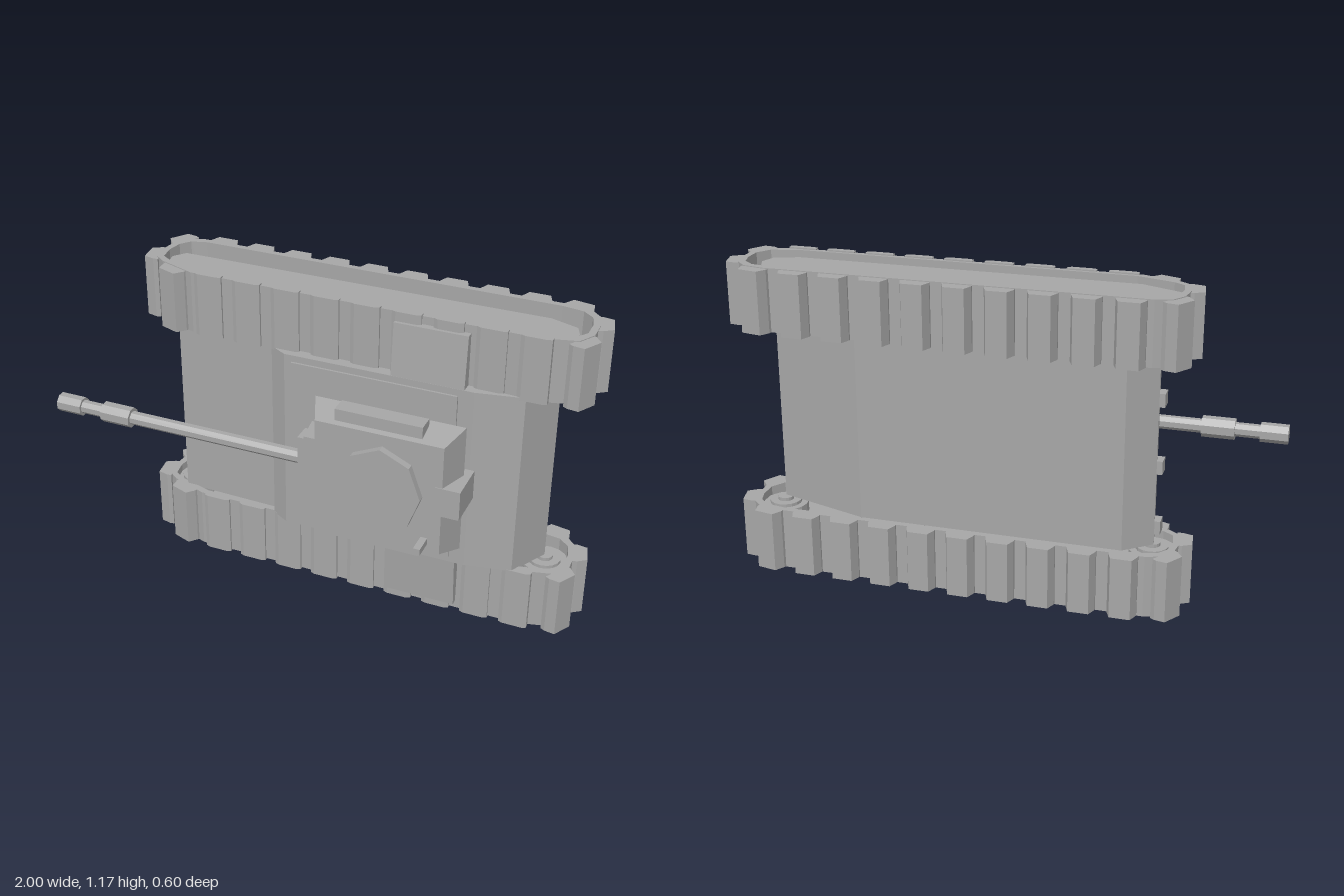
import * as THREE from 'three';

const H = 1.175; // overall height, the model rests on one track side

export function createModel() {
  const model = new THREE.Group();
  const grey = new THREE.MeshStandardMaterial({ color: 0xa6a6a6 });

  function add(name, geo, parent = model) {
    const g = geo.index ? geo.toNonIndexed() : geo;
    g.computeVertexNormals(); // faceted normals
    const mesh = new THREE.Mesh(g, grey);
    mesh.name = name;
    parent.add(mesh);
    return mesh;
  }

  // prism from an x/z outline, running along y
  function prism(points, y0, y1, hole) {
    const shape = new THREE.Shape(points.map(([x, z]) => new THREE.Vector2(x, -z)));
    if (hole) shape.holes.push(new THREE.Path(hole.map(([x, z]) => new THREE.Vector2(x, -z))));
    const g = new THREE.ExtrudeGeometry(shape, { depth: y1 - y0, bevelEnabled: false });
    return g.rotateX(-Math.PI / 2).translate(0, y0, 0);
  }

  // block between two rectangles [x0, x1, y0, y1] at heights za and zb
  function block(a, za, b = a, zb) {
    const g = new THREE.BoxGeometry(1, 1, 1);
    const p = g.attributes.position;
    for (let i = 0; i < p.count; i++) {
      const top = p.getZ(i) > 0;
      const r = top ? b : a;
      p.setXYZ(i, r[p.getX(i) > 0 ? 1 : 0], r[p.getY(i) > 0 ? 3 : 2], top ? zb : za);
    }
    return g;
  }

  // octagonal bar along x
  function bar(x0, x1, r) {
    return new THREE.CylinderGeometry(r, r, x1 - x0, 8)
      .rotateY(Math.PI / 8).rotateZ(Math.PI / 2).translate((x0 + x1) / 2, 0.59, 0.15);
  }

  // ---- hull
  add('hull', prism([[-0.1, 0.04], [0.77, 0.04], [0.85, -0.11], [0.5, -0.22], [-0.48, -0.22],
    [-0.58, -0.14], [-0.56, -0.01], [-0.17, 0.0]], 0.235, 0.94));
  add('upperHull', prism([[-0.17, 0.0], [-0.165, 0.035], [-0.1, 0.072], [0.6, 0.072], [0.77, 0.04]], 0.235, 0.945));
  add('deckPlate', block([-0.07, 0.545, 0.26, 0.92], 0.07, undefined, 0.08));
  for (const y of [0.3, 0.53, 0.78])
    add('frontBracket', block([-0.6, -0.55, y - 0.025, y + 0.025], -0.14, undefined, -0.09));

  // ---- turret
  add('turretRing', new THREE.CylinderGeometry(0.2, 0.2, 0.03, 24).rotateX(Math.PI / 2).translate(0.32, 0.585, 0.085));
  const waist = [0.04, 0.595, 0.335, 0.83];
  add('turretSkirt', block([0.05, 0.58, 0.385, 0.79], 0.088, waist, 0.115));
  add('turretBody', block(waist, 0.115, [0.085, 0.555, 0.37, 0.8], 0.225));
  for (const [y0, y1] of [[0.325, 0.375], [0.8, 0.85]])
    add('turretSideBox', block([0.15, 0.47, y0, y1], 0.14, undefined, 0.205));
  add('turretRearBox', block([0.53, 0.62, 0.53, 0.642], 0.075, undefined, 0.228));
  add('mantlet', block([0.02, 0.09, 0.455, 0.715], 0.1, [0.035, 0.09, 0.455, 0.715], 0.21));
  add('mantletCollar', block([0.0, 0.04, 0.49, 0.69], 0.115, undefined, 0.185));

  // octagonal hatch with a raised rim
  const octagon = r => Array.from({ length: 8 }, (_, i) => {
    const a = i * Math.PI / 4;
    return new THREE.Vector2(0.335 + 0.9 * r * Math.sin(a), 0.588 + r * Math.cos(a));
  });
  const rim = new THREE.Shape(octagon(0.168));
  rim.holes.push(new THREE.Path(octagon(0.148)));
  add('hatchRim', new THREE.ExtrudeGeometry(rim, { depth: 0.03, bevelEnabled: false }).translate(0, 0, 0.222));
  add('hatchLid', new THREE.ExtrudeGeometry(new THREE.Shape(octagon(0.148)), { depth: 0.022, bevelEnabled: false })
    .translate(0, 0, 0.222));
  add('periscope', block([0.485, 0.51, 0.4, 0.425], 0.22, undefined, 0.3));

  // ---- gun
  add('gunBarrel', bar(-0.98, 0.04, 0.026));
  add('barrelSleeve', bar(-0.81, -0.69, 0.039));
  add('muzzleBrake', bar(-1, -0.9, 0.036));

  // ---- tracks, one at each side of the hull
  const loop = [[-0.57, -0.255], [-0.63, -0.235], [-0.66, -0.19], [-0.67, -0.12], [-0.66, -0.05],
    [-0.62, -0.02], [-0.48, 0.03], [0.8, 0.03], [0.92, 0.0], [0.955, -0.06], [0.955, -0.14],
    [0.94, -0.2], [0.9, -0.24], [0.82, -0.255]];
  const inner = loop.map(([x, z]) => [0.15 + (x - 0.15) * 0.97, -0.11 + (z + 0.11) * 0.84]);
  const path = new THREE.CurvePath();
  loop.forEach(([x, z], i) => {
    const [u, w] = loop[(i + 1) % loop.length];
    path.add(new THREE.LineCurve(new THREE.Vector2(x, z), new THREE.Vector2(u, w)));
  });

  for (const side of ['right', 'left']) {
    const track = new THREE.Group();
    track.name = side + 'Track';
    model.add(track);
    const span = (a, b) => side === 'right' ? [a, b] : [H - b, H - a];

    add('trackBand', prism(loop, ...span(0.005, 0.24), inner), track);

    // cleats, low on the upper run and tall elsewhere
    const count = 24;
    for (let i = 0; i < count; i++) {
      const t = (i + 0.5) / count;
      const c = path.getPointAt(t), d = path.getTangentAt(t);
      const upper = c.y > 0.02;
      const h = upper ? 0.014 : 0.045;
      const at = (s, n) => [c.x + d.x * s + d.y * n, c.y + d.y * s - d.x * n];
      // outward is away from the middle of the loop
      const out = (d.y * (c.x - 0.15) - d.x * (c.y + 0.11)) > 0 ? 1 : -1;
      const outline = [at(-0.053, -0.01 * out), at(0.053, -0.01 * out), at(0.053, 0.008 * out),
        at(0.038, h * out), at(-0.038, h * out), at(-0.053, 0.008 * out)];
      add('trackCleat', prism(outline, ...span(upper ? 0 : 0.008, 0.24)), track);
    }

    // side beam set back inside the loop
    add('sideBeam', prism([[-0.6, -0.165], [-0.635, -0.12], [-0.625, -0.06], [-0.48, 0.0], [0.79, 0.0],
      [0.88, -0.03], [0.9, -0.09], [0.88, -0.14], [0.78, -0.175]], ...span(0.03, 0.17)), track);

    const wheel = (name, x, z, r, a, b) => {
      const [y0, y1] = span(a, b);
      add(name, new THREE.CylinderGeometry(r, r, y1 - y0, 16).translate(x, (y0 + y1) / 2, z), track);
    };
    // end wheels with stepped hubs, facing the hull
    for (const x of [-0.57, 0.85]) {
      wheel('endWheel', x, -0.115, 0.085, 0.15, 0.21);
      wheel('endWheelRing', x, -0.115, 0.06, 0.2, 0.222);
      wheel('endWheelHub', x, -0.115, 0.03, 0.2, 0.235);
    }
    for (const x of [-0.35, -0.12, 0.1, 0.33, 0.58])
      wheel('roadWheel', x, -0.17, 0.055, 0.06, 0.2);

    // sloping side plate that covers the upper track run
    const [p0, p1] = span(0.035, 0.24);
    const plate = block([0.3, 0.565, p0, p1], 0.02, undefined, 0.072);
    const pos = plate.attributes.position;
    for (let i = 0; i < pos.count; i++) {
      const outer = Math.abs(pos.getY(i) - H / 2) > 0.4;
      if (outer && pos.getZ(i) > 0.05) pos.setZ(i, 0.056);
    }
    add('sidePlate', plate, track);
  }

  return model;
}
